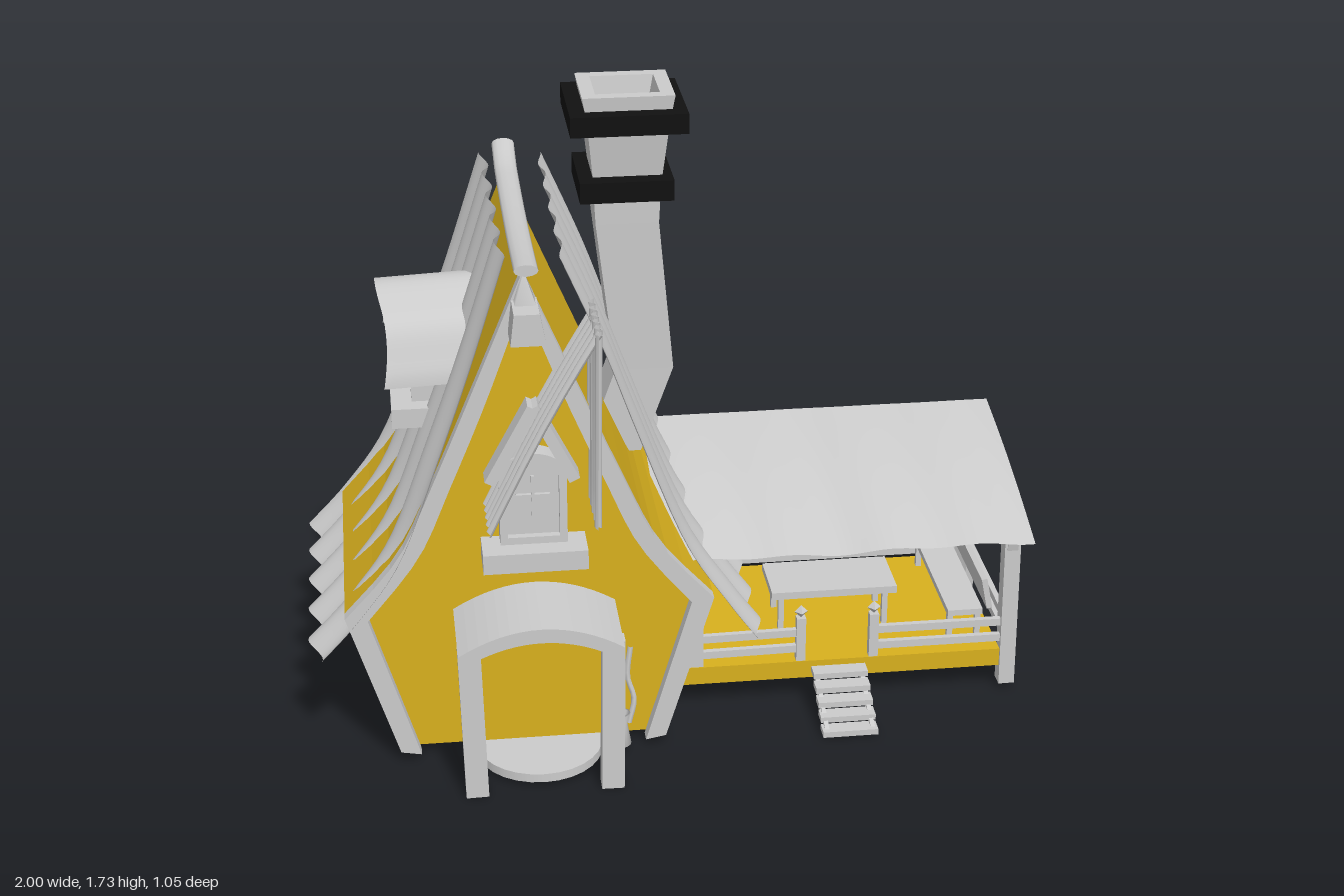
import * as THREE from 'three';

const grey = new THREE.MeshStandardMaterial({ color: 0xcccccc });
const sheetGrey = new THREE.MeshStandardMaterial({ color: 0xcccccc, side: THREE.DoubleSide });
const yellow = new THREE.MeshStandardMaterial({ color: 0xd8b01e });
const black = new THREE.MeshStandardMaterial({ color: 0x111111 });
const CX = -0.405; // house centre line
const V = (x, y, z) => new THREE.Vector3(x, y, z);
const V2 = p => new THREE.Vector2(...p);

export function createModel() {
  const root = new THREE.Group();

  const add = (name, geo, mat = grey, parent = root) => {
    const m = new THREE.Mesh(geo, mat);
    m.name = name;
    parent.add(m);
    return m;
  };
  // box given by its min and max corners
  const box = (name, x0, x1, y0, y1, z0, z1, mat, parent) => {
    const m = add(name, new THREE.BoxGeometry(x1 - x0, y1 - y0, z1 - z0), mat, parent);
    m.position.set((x0 + x1) / 2, (y0 + y1) / 2, (z0 + z1) / 2);
  };
  // straight bar between two points
  const bar = (name, a, b, w = 0.03, h = w) => {
    const m = add(name, new THREE.BoxGeometry(w, h, a.distanceTo(b)));
    m.position.copy(a).lerp(b, 0.5);
    m.lookAt(b);
    return m;
  };
  // outline extruded from z0 to z1
  const slab = (name, shape, z0, z1, mat, parent) => {
    const g = new THREE.ExtrudeGeometry(shape, { depth: z1 - z0, bevelEnabled: false, curveSegments: 16 });
    g.translate(0, 0, z0);
    return add(name, g, mat, parent);
  };
  // thin curved surface from a rule (u, v) -> point
  const sheet = (name, nu, nv, rule) => {
    const g = new THREE.PlaneGeometry(1, 1, nu, nv);
    const p = g.attributes.position;
    for (let i = 0; i < p.count; i++)
      p.setXYZ(i, ...rule(p.getX(i) + 0.5, p.getY(i) + 0.5));
    g.computeVertexNormals();
    add(name, g, sheetGrey);
  };
  const smooth = (pts, n) => new THREE.SplineCurve(pts.map(V2)).getPoints(n);

  // house body: splayed walls rising to a concave gable
  const outer = [V2([0.36, 0.03]),
    ...smooth([[0.49, 0.45], [0.345, 0.62], [0.25, 0.82], [0.13, 1.1], [0, 1.41]], 14)];
  const inner = [V2([0.305, 0.02]),
    ...smooth([[0.43, 0.44], [0.29, 0.62], [0.2, 0.82], [0.1, 1.06], [0, 1.33]], 14)];
  const at = (s, p) => new THREE.Vector2(CX + s * p.x, p.y);
  const whole = prof => [...prof.map(p => at(1, p)), ...prof.slice(0, -1).reverse().map(p => at(-1, p))];
  slab('houseBody', new THREE.Shape(whole(outer)), -0.47, 0.25, yellow);
  slab('gableTrim', new THREE.Shape([...whole(outer), ...whole(inner).reverse()]), 0.25, 0.285);

  // ridge beam: flattened log, curling up at the back end
  const log = new THREE.CylinderGeometry(0.031, 0.031, 0.89, 12, 16).rotateX(Math.PI / 2).scale(1, 0.5, 1);
  const lp = log.attributes.position;
  for (let i = 0; i < lp.count; i++) {
    const z = lp.getZ(i);
    lp.setY(i, lp.getY(i) + 0.02 * (z / 0.445) ** 2 + (z < -0.33 ? (-z - 0.33) * 0.22 : 0));
  }
  log.computeVertexNormals();
  add('ridgeBeam', log).position.set(-0.4, 1.422, -0.085);

  // gable finial
  slab('finialBlock', new THREE.Shape([[-0.445, 1.25], [-0.355, 1.25], [-0.37, 1.335], [-0.435, 1.335]].map(V2)), 0.27, 0.385);
  add('finialTip', new THREE.ConeGeometry(0.04, 0.09, 4).rotateY(Math.PI / 4)).position.set(-0.402, 1.375, 0.3);

  // corrugated roof sheets: side, name, centre, z range, back skew, wave size, slope
  const roofs = [
    [-1, 'roofRight', -0.39, -0.5, 0.29, 0, 0.019,
      [[0.588, 0.33], [0.475, 0.455], [0.362, 0.62], [0.262, 0.88], [0.165, 1.15], [0.068, 1.45]]],
    [1, 'roofLeft', -0.385, -0.49, 0.315, 0.035, 0.011,
      [[0.597, 0.33], [0.515, 0.445], [0.395, 0.64], [0.268, 0.97], [0.185, 1.2], [0.08, 1.45]]]];
  for (const [s, name, cx, z0, z1, skew, amp, pts] of roofs) {
    const slope = new THREE.SplineCurve(pts.map(V2));
    sheet(name, 64, 24, (u, v) => {
      const p = slope.getPoint(v);
      const wave = Math.cos(u * Math.PI * 9.3) * amp * (1 - 0.4 * v);
      return [cx + s * (p.x + wave), p.y + wave * 0.4, z0 + skew * (1 - v) * (1 - u) + (z1 - z0) * u];
    });
  }

  // square rings lofted along a path [y, centre x, centre z, half x, half z]
  const loft = (name, rings, mat) => {
    const pos = [];
    const corner = ([y, cx, cz, a, b], k) =>
      [cx + (k === 0 || k === 3 ? a : -a), y, cz + (k < 2 ? b : -b)];
    for (let i = 0; i + 1 < rings.length; i++)
      for (let k = 0; k < 4; k++) {
        const n = (k + 1) % 4;
        const A = corner(rings[i], k), B = corner(rings[i], n);
        const C = corner(rings[i + 1], n), D = corner(rings[i + 1], k);
        pos.push(...A, ...D, ...C, ...A, ...C, ...B);
      }
    const g = new THREE.BufferGeometry();
    g.setAttribute('position', new THREE.Float32BufferAttribute(pos, 3));
    g.computeVertexNormals();
    add(name, g, mat);
  };
  // chimney: bent shaft, flared hollow top, two bands
  loft('chimney', [
    [0.68, -0.14, -0.237, 0, 0], [0.68, -0.14, -0.237, 0.08, 0.072], [0.93, -0.05, -0.235, 0.08, 0.075],
    [1.36, -0.095, -0.225, 0.085, 0.078], [1.46, -0.095, -0.225, 0.09, 0.08],
    [1.5, -0.094, -0.225, 0.093, 0.086], [1.66, -0.093, -0.225, 0.11, 0.112],
    [1.725, -0.093, -0.218, 0.122, 0.112], [1.725, -0.093, -0.218, 0.085, 0.078],
    [1.58, -0.093, -0.22, 0.055, 0.05], [1.58, -0.093, -0.22, 0, 0]], grey);
  for (const [y0, y1, cx, a, b] of [[1.44, 1.497, -0.1, 0.125, 0.127], [1.632, 1.687, -0.095, 0.155, 0.153]])
    loft('chimneyBand', [[y0, cx, -0.22, 0.08, 0.07], [y0, cx, -0.22, a, b], [y1, cx, -0.22, a, b],
      [y1, cx, -0.22, 0.08, 0.07]], black);

  // arched window facing +z, sill top at the local origin
  const arch = (w, h, y0 = 0) => {
    const s = new THREE.Shape();
    s.moveTo(-w, y0).lineTo(w, y0).lineTo(w, h - w * 0.75);
    s.absellipse(0, h - w * 0.75, w, w * 0.75, 0, Math.PI, false);
    return s.closePath();
  };
  const makeWindow = (name, depth) => {
    const g = new THREE.Group();
    g.name = name;
    const frame = arch(0.088, 0.26);
    frame.holes.push(arch(0.068, 0.24, 0.02));
    slab('windowFrame', frame, -depth, 0, grey, g);
    slab('windowPane', arch(0.07, 0.242, 0.015), -depth, -0.02, grey, g);
    box('windowBar', -0.004, 0.004, 0.075, 0.19, -0.02, -0.01, grey, g);
    box('windowBar', -0.045, 0.045, 0.13, 0.138, -0.02, -0.01, grey, g);
    box('windowSill', -0.137, 0.137, -0.055, 0, -depth, 0.055, grey, g);
    root.add(g);
    return g;
  };
  makeWindow('gableWindow', 0.06).position.set(-0.393, 0.655, 0.305);
  const dormer = makeWindow('dormerWindow', 0.18);
  dormer.position.set(-0.69, 0.93, -0.11);
  dormer.rotation.y = -Math.PI / 2;

  // dormer hood: rippled arch sheet
  sheet('dormerHood', 12, 32, (u, v) => {
    const a = v * Math.PI, r = 1 + 0.02 * Math.cos(v * 25);
    return [-0.76 + 0.28 * u + 0.012 * Math.sin(v * 9), 1.03 + 0.21 * Math.sin(a) * r + 0.012 * u, -0.11 + 0.22 * Math.cos(a) * r];
  });

  // gable window hood: two boards and two loose corrugated sheets
  for (const x of [-0.505, -0.285])
    bar('hoodBoard', V(x, 0.84, 0.29), V(-0.39, 1.05, 0.29), 0.06, 0.03);
  sheet('hoodSheetRight', 40, 6, (u, v) => {
    const w = 0.006 * Math.cos(u * 30);
    return [-0.515 + 0.29 * v - w, 0.75 + 0.54 * v + 0.02 * Math.sin(v * 3) + w * 0.5, 0.25 + 0.19 * u];
  });
  sheet('hoodSheetLeft', 48, 6, (u, v) => {
    const w = 0.01 * Math.cos(u * 36);
    return [-0.237 + 0.008 * v + w, 0.76 + 0.54 * v - w * 0.7 * (1 - v), 0.21 + 0.245 * u];
  });

  // doorway: door panel, arched canopy on posts, round step
  slab('door', arch(0.17, 0.45), 0.25, 0.262, yellow).position.set(-0.393, 0.03, 0);
  const canopy = new THREE.Shape();
  canopy.moveTo(-0.61, 0.455).quadraticCurveTo(-0.393, 0.59, -0.18, 0.455);
  canopy.lineTo(-0.215, 0.435).quadraticCurveTo(-0.393, 0.53, -0.575, 0.435);
  slab('doorCanopy', canopy, 0.27, 0.525);
  for (const s of [-1, 1])
    bar('doorPost', V(-0.39 + s * 0.18, 0, 0.46), V(-0.392 + s * 0.188, 0.448, 0.46), 0.045, 0.06);
  add('doorStep', new THREE.CylinderGeometry(0.17, 0.17, 0.025, 28)).position.set(-0.39, 0.025, 0.28);

  // bucket and broom beside the door
  add('bucket', new THREE.LatheGeometry([[0, 0], [0.028, 0], [0.018, 0.06], [0.026, 0.095], [0.02, 0.095], [0.012, 0.06], [0, 0.05]]
    .map(V2), 12), sheetGrey).position.set(-0.17, 0.025, 0.3);
  add('broom', new THREE.TubeGeometry(new THREE.CatmullRomCurve3(
    [V(-0.145, 0.07, 0.27), V(-0.13, 0.14, 0.265), V(-0.147, 0.21, 0.26), V(-0.138, 0.3, 0.255)]), 12, 0.008, 6));

  // porch deck, posts and rafters
  box('porchDeck', -0.03, 0.925, 0.075, 0.128, -0.465, 0.105, yellow);
  bar('porchPost', V(0.95, 0.015, 0.085), V(0.945, 0.482, 0.085), 0.045);
  bar('porchPost', V(0.95, 0.015, -0.445), V(0.945, 0.602, -0.44), 0.045);
  bar('porchPost', V(0.06, 0.1, 0.08), V(0.06, 0.475, 0.08), 0.045);
  bar('porchRafter', V(0.945, 0.452, 0.11), V(0.945, 0.582, -0.46), 0.03);
  bar('porchRafter', V(0.945, 0.41, 0.08), V(0.945, 0.53, -0.44), 0.02, 0.025);
  bar('porchBeam', V(0, 0.595, -0.44), V(0.95, 0.595, -0.44), 0.025);

  // porch roof sheet
  sheet('porchRoof', 64, 16, (u, v) => {
    const x = -0.03 + 1.03 * u;
    const wave = 0.007 * Math.sin(x * 24 + v) + 0.005 * Math.sin(x * 11);
    return [x, 0.485 + 0.15 * v + wave * (1 - 0.7 * v) + 0.012 * Math.sin(v * Math.PI), 0.145 - 0.62 * v + wave * 0.7];
  });

  // railings and gate posts
  for (const y of [0.16, 0.21]) {
    bar('railFront', V(0, y, 0.09), V(0.36, y + 0.005, 0.09), 0.016, 0.022);
    bar('railFront', V(0.57, y, 0.09), V(0.94, y, 0.09), 0.016, 0.022);
    bar('railSide', V(0.945, y, 0.09), V(0.945, y, -0.45), 0.016, 0.022);
    bar('railBack', V(0, y, -0.45), V(0.945, y, -0.45), 0.016, 0.022);
  }
  for (const x of [0.357, 0.563]) {
    box('gatePost', x - 0.013, x + 0.013, 0.12, 0.262, 0.077, 0.103);
    add('gateKnob', new THREE.OctahedronGeometry(0.019)).position.set(x, 0.28, 0.09);
  }

  // stairs
  for (let i = 0; i < 5; i++)
    box('stairTread', 0.387, 0.54, 0.093 - i * 0.022, 0.11 - i * 0.022, 0.105 + i * 0.041, 0.15 + i * 0.041);
  for (const x of [0.4, 0.527])
    bar('stairStringer', V(x, 0.1, 0.1), V(x, 0.012, 0.3), 0.012, 0.018);

  // table and bench
  box('tableTop', 0.3, 0.66, 0.235, 0.257, -0.24, -0.06);
  for (const x of [0.33, 0.63]) for (const z of [-0.215, -0.085])
    box('tableLeg', x - 0.008, x + 0.008, 0.125, 0.24, z - 0.008, z + 0.008);
  box('benchSeat', 0.79, 0.89, 0.2, 0.218, -0.43, 0.03);
  bar('benchBack', V(0.9, 0.265, -0.43), V(0.9, 0.265, 0.03), 0.016, 0.095).rotateZ(0.2);
  for (const x of [0.8, 0.88]) for (const z of [-0.41, 0.01])
    box('benchLeg', x - 0.008, x + 0.008, 0.125, 0.2, z - 0.008, z + 0.008);

  return root;
}
